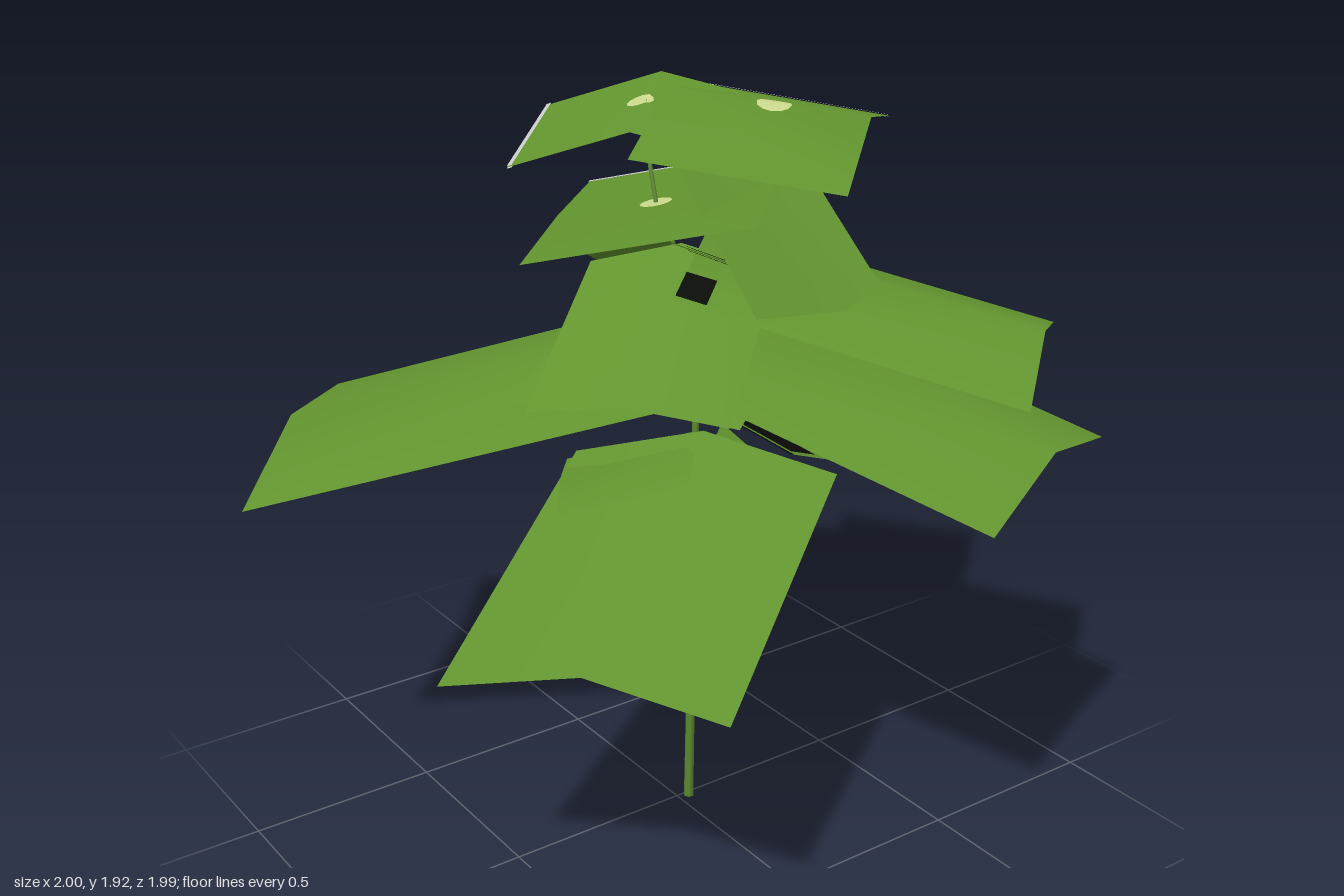
import * as THREE from 'three';
import { mergeVertices } from 'three/addons/utils/BufferGeometryUtils.js';

const mat = (name, color, side = THREE.DoubleSide) => {
  const m = new THREE.MeshStandardMaterial({ color, side });
  m.name = name;
  return m;
};

// Each leaf: tip edge (side, midrib, side) then inner edge (side, midrib, side)
const LEAVES = {
  leafLowFront: [[0.805, 0.75, 0.43], [0.53, 0.81, 0.63], [0.24, 0.72, 0.83],
    [0.34, 1.01, -0.24], [0.06, 1.08, -0.04], [-0.22, 0.98, 0.16]],
  leafLowBack: [[0.16, 0.73, -1.0], [-0.18, 0.81, -0.92], [-0.51, 0.75, -0.84],
    [0.37, 1.11, -0.08], [0.04, 1.18, 0.0], [-0.3, 1.12, 0.08]],
  leafSmallFront: [[0.04, 0.95, 0.38], [-0.11, 0.965, 0.28], [-0.25, 0.95, 0.17],
    [0.22, 1.03, 0.12], [0.08, 1.06, 0.0], [-0.05, 1.03, -0.1]],
  leafSmallLeft: [[0.1, 0.86, -0.32], [0.26, 0.83, -0.16], [0.4, 0.78, 0.0],
    [-0.08, 1.02, -0.2], [0.06, 0.99, -0.04], [0.2, 0.93, 0.12]],
  leafLargeFront: [[-0.42, 0.95, 0.99], [-0.71, 1.05, 0.72], [-1.0, 0.99, 0.45],
    [0.3, 1.27, 0.2], [0.01, 1.38, -0.07], [-0.28, 1.31, -0.34]],
  leafLargeLeft: [[0.73, 1.12, -0.74], [0.87, 1.2, -0.43], [1.0, 1.12, -0.12],
    [-0.115, 1.34, -0.39], [0.02, 1.41, -0.08], [0.155, 1.33, 0.23]],
  leafShortFront: [[0.43, 1.24, 0.13], [0.2, 1.27, 0.3], [-0.02, 1.24, 0.47],
    [0.24, 1.34, -0.17], [0.02, 1.39, -0.03], [-0.21, 1.34, 0.14]],
  leafMidFront: [[0.55, 1.31, 0.25], [0.38, 1.34, 0.41], [0.21, 1.31, 0.56],
    [0.19, 1.5, -0.16], [0.02, 1.56, 0.0], [-0.15, 1.5, 0.15]],
  leafMidLeft: [[0.48, 1.33, -0.81], [0.66, 1.4, -0.59], [0.84, 1.3, -0.37],
    [-0.16, 1.51, -0.29], [0.02, 1.57, -0.07], [0.2, 1.49, 0.15]],
  leafMidBack: [[-0.22, 1.2, -0.7], [-0.43, 1.28, -0.54], [-0.64, 1.2, -0.38],
    [0.27, 1.52, -0.08], [0.05, 1.59, 0.08], [-0.16, 1.57, 0.24]],
  leafSteep: [[0.36, 1.49, -0.33], [0.4, 1.45, -0.22], [0.42, 1.49, 0.08],
    [0.07, 1.72, -0.33], [0.09, 1.73, -0.16], [0.1, 1.77, 0.07]],
  leafUpper: [[0.07, 1.6, 0.48], [-0.235, 1.6, 0.19], [-0.54, 1.58, -0.1],
    [0.44, 1.71, 0.1], [0.135, 1.705, -0.19], [-0.17, 1.69, -0.48]],
  leafTopRight: [[0.3, 1.8, -0.01], [0.07, 1.86, 0.18], [-0.16, 1.76, 0.37],
    [0.01, 1.86, -0.3], [-0.22, 1.92, -0.11], [-0.45, 1.82, 0.08]],
  leafTop: [[0.53, 1.77, -0.08], [0.3, 1.87, -0.34], [0.07, 1.8, -0.6],
    [0.18, 1.83, 0.26], [-0.05, 1.92, -0.01], [-0.28, 1.86, -0.28]],
};

// Point on a folded leaf: s = 0..2 across, t = 0 (tip) .. 1 (inner end)
function leafPoint(c, s, t, lift = 0) {
  const i = s < 1 ? 0 : 1, f = s - i;
  const v = (k) => new THREE.Vector3(...c[k]);
  const tip = v(i).lerp(v(i + 1), f);
  const inner = v(i + 3).lerp(v(i + 4), f);
  const p = tip.lerp(inner, t);
  p.y += lift;
  return p;
}

// Patch of a leaf between two s values and two t values, smooth over the midrib
function patch(c, s0, s1, t0, t1, lift = 0) {
  const cuts = s0 < 1 && s1 > 1 ? [s0, 1, s1] : [s0, s1];
  const pos = [];
  for (let i = 0; i + 1 < cuts.length; i++) {
    const a = cuts[i], b = cuts[i + 1];
    const q = [[a, t0], [b, t0], [b, t1], [a, t1]].map(([s, t]) => leafPoint(c, s, t, lift));
    for (const k of [0, 2, 1, 0, 3, 2]) pos.push(...q[k].toArray());
  }
  const g = new THREE.BufferGeometry();
  g.setAttribute('position', new THREE.Float32BufferAttribute(pos, 3));
  const smooth = mergeVertices(g);
  smooth.computeVertexNormals();
  return smooth;
}

// Round spot that follows the fold of a leaf
function spot(c, s, t, r, lift) {
  const width = leafPoint(c, 1, 0).distanceTo(leafPoint(c, 0, 0));
  const length = leafPoint(c, 1, 0).distanceTo(leafPoint(c, 1, 1));
  const g = new THREE.CircleGeometry(r, 12);
  const p = g.attributes.position;
  for (let i = 0; i < p.count; i++)
    p.setXYZ(i, ...leafPoint(c, s + p.getX(i) / width, t - p.getY(i) / length, lift).toArray());
  g.computeVertexNormals();
  return g;
}

function rod(a, b, r0, r1) {
  const from = new THREE.Vector3(...a), dir = new THREE.Vector3(...b).sub(from);
  const g = new THREE.CylinderGeometry(r1, r0, dir.length(), 6);
  g.translate(0, dir.length() / 2, 0);
  g.applyQuaternion(new THREE.Quaternion().setFromUnitVectors(
    new THREE.Vector3(0, 1, 0), dir.normalize()));
  return g.translate(...a);
}

export function createModel() {
  const group = new THREE.Group();
  const leaf = mat('leaf green', 0x63952f);
  const stem = mat('stem green', 0x5c8a30, THREE.FrontSide);
  const pale = mat('pale vein', 0xccd88c);
  const rim = mat('pale rim', 0xcccccc);
  const dark = mat('dark leaf base', 0x0a0c08);
  const add = (name, geometry, material) => {
    const m = new THREE.Mesh(geometry, material);
    m.name = name;
    group.add(m);
  };

  for (const [name, c] of Object.entries(LEAVES)) add(name, patch(c, 0, 2, 0, 1), leaf);

  // Stem and the twigs that carry the top leaves
  add('stem', rod([0.013, 0, -0.03], [0.02, 1.45, -0.05], 0.014, 0.008), stem);
  add('stemTop', rod([0.02, 1.4, -0.05], [-0.035, 1.65, 0.035], 0.008, 0.006), stem);
  add('twigRight', rod([-0.035, 1.65, 0.035], [-0.09, 1.87, 0.04], 0.006, 0.005), stem);
  add('twigLeft', rod([0.02, 1.45, -0.05], [0.14, 1.89, -0.18], 0.006, 0.005), stem);

  // Pale rims along the edges of the three upper leaves, on both faces
  for (const name of ['leafUpper', 'leafTopRight', 'leafTop'])
    for (const lift of [0.003, -0.003])
      add(name + 'Rim', patch(LEAVES[name], 1.96, 2, 0, 1, lift), rim);

  // Pale spots where the twigs meet the leaves
  for (const [name, s, t, r] of [['leafUpper', 0.916, 0.47, 0.04],
    ['leafTopRight', 1.05, 0.51, 0.034], ['leafTop', 0.98, 0.47, 0.042]])
    for (const lift of [0.004, -0.004])
      add(name + 'Spot', spot(LEAVES[name], s, t, r, lift), pale);

  // Dark patches at the inner ends of some leaves, on both faces
  for (const [name, s0, s1, t0] of [['leafLowBack', 0.03, 0.6, 0.9],
    ['leafMidBack', 0.05, 0.8, 0.87], ['leafLargeLeft', 0.9, 1.5, 0.93],
    ['leafMidLeft', 1.6, 1.95, 0.91]])
    for (const lift of [0.004, -0.004])
      add(name + 'Base', patch(LEAVES[name], s0, s1, t0, 1, lift), dark);

  return group;
}
